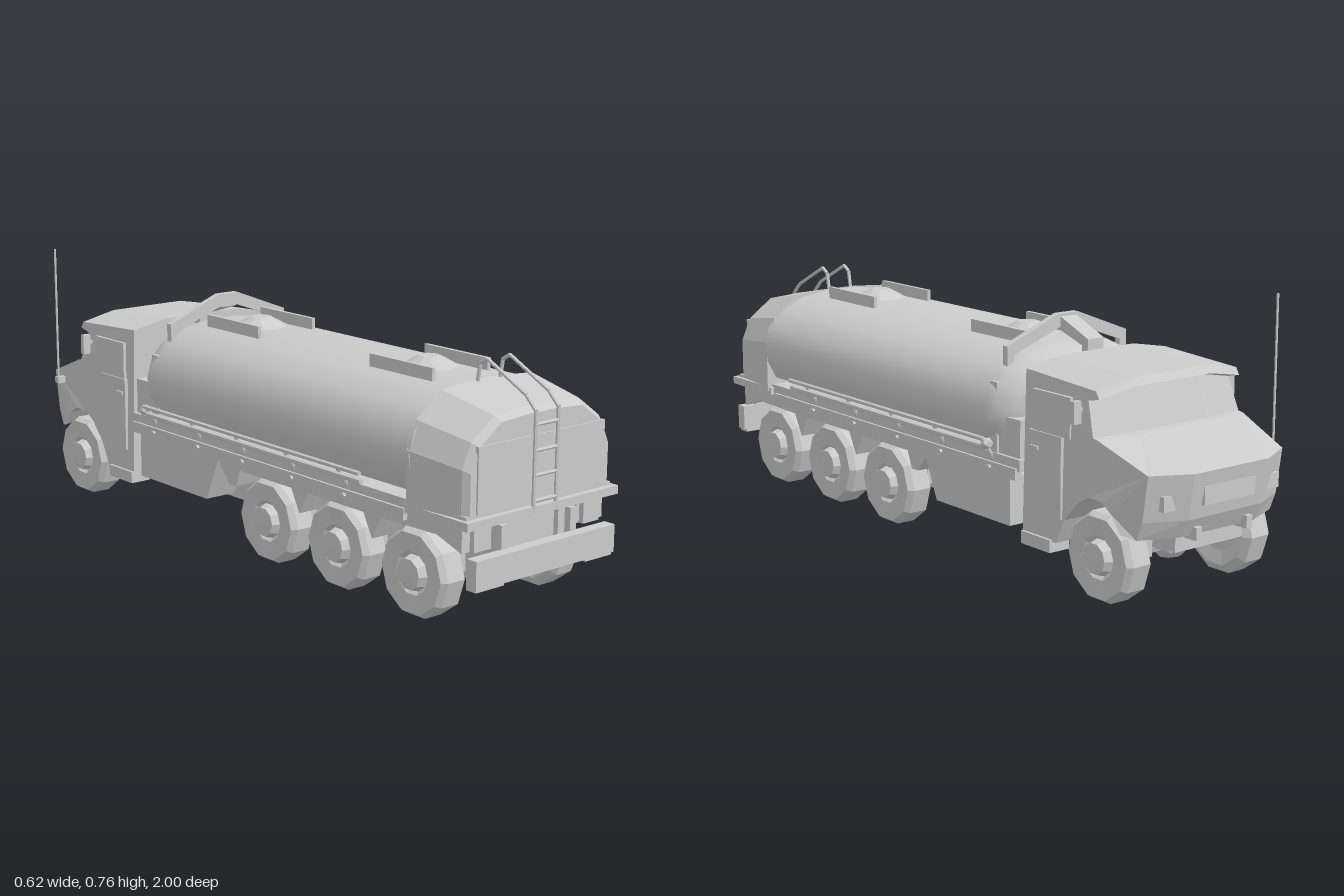
import * as THREE from 'three';
import { toCreasedNormals } from 'three/addons/utils/BufferGeometryUtils.js';

const flat = new THREE.MeshStandardMaterial({ color: 0xcccccc, flatShading: true });
const smooth = new THREE.MeshStandardMaterial({ color: 0xcccccc });

export function createModel() {
  const model = new THREE.Group();
  const add = (name, geo, mat = flat) => {
    const m = new THREE.Mesh(geo, mat);
    m.name = name;
    model.add(m);
    return m;
  };
  // box from its min and max corners
  const box = (name, x0, x1, y0, y1, z0, z1) =>
    add(name, new THREE.BoxGeometry(x1 - x0, y1 - y0, z1 - z0))
      .position.set((x0 + x1) / 2, (y0 + y1) / 2, (z0 + z1) / 2);
  const pair = (name, x0, x1, ...r) => {
    box(name, x0, x1, ...r);
    box(name, -x1, -x0, ...r);
  };
  // straight bar between two points
  const bar = (name, a, b, r, sides = 6) => {
    const p = new THREE.Vector3(...a), q = new THREE.Vector3(...b), d = q.clone().sub(p);
    const m = add(name, new THREE.CylinderGeometry(r, r, d.length(), sides));
    m.position.copy(p).add(q).multiplyScalar(0.5);
    m.quaternion.setFromUnitVectors(new THREE.Vector3(0, 1, 0), d.normalize());
  };
  const path = (name, pts, r) => pts.slice(1).forEach((p, i) => bar(name, pts[i], p, r));
  const shape = pts => new THREE.Shape(pts.map(p => new THREE.Vector2(...p)));
  // section repeated through n layers, each vertex moved by rule(v, layer)
  const loft = (pts, n, rule) => {
    const g = new THREE.ExtrudeGeometry(shape(pts), { depth: n, steps: n, bevelEnabled: false });
    const pos = g.attributes.position, v = new THREE.Vector3();
    for (let i = 0; i < pos.count; i++) {
      v.fromBufferAttribute(pos, i);
      rule(v, Math.round(v.z));
      pos.setXYZ(i, v.x, v.y, v.z);
    }
    g.computeVertexNormals();
    return g;
  };
  const mirrored = half => [...half, ...half.map(([x, y]) => [-x, y]).reverse()];
  // side outline (forward, up) extruded across x
  const across = (pts, x0, x1) => {
    const g = new THREE.ExtrudeGeometry(shape(pts), { depth: x1 - x0, bevelEnabled: false });
    return g.translate(0, 0, x0).rotateY(Math.PI / 2);
  };

  // Tank barrel with stepped front dome
  const rings = [[-0.435, 0.72], [-0.42, 0.85], [-0.375, 0.97], [-0.34, 1], [0.78, 1]];
  const barrel = loft(mirrored([[0.17, 0.32], [0.25, 0.345], [0.28, 0.4], [0.284, 0.45],
    [0.265, 0.51], [0.22, 0.555], [0.15, 0.59], [0.05, 0.605]]), 4, (v, i) => {
    v.set(v.x * rings[i][1], 0.45 + (v.y - 0.45) * rings[i][1], rings[i][0]);
  });
  add('tankBarrel', toCreasedNormals(barrel, 0.7), smooth);

  // Angular rear cabinet, tapering to the back face
  const cabZ = [0.77, 0.95, 0.97], cabX = [1, 0.93, 0.89], cabY = [1, 0.88, 0.83];
  add('rearCabinet', loft(mirrored([[0.282, 0.305], [0.282, 0.46], [0.25, 0.535], [0.165, 0.6],
    [0.05, 0.608]]), 2, (v, i) => v.set(v.x * cabX[i], 0.305 + (v.y - 0.305) * cabY[i], cabZ[i])));
  box('rearDoor', -0.23, 0.23, 0.325, 0.5, 0.965, 0.975);

  // Manholes and roof fins
  for (const z of [0.55, -0.18]) {
    const hatch = add('manhole', new THREE.CylinderGeometry(0.03, 0.11, 0.045, 10));
    hatch.position.set(0, 0.61, z);
  }
  for (const z of [0.43, -0.3]) pair('roofFin', 0.095, 0.107, 0.585, 0.632, z, z + 0.245);

  // Guard arch behind the cab and its centre brace
  const outer = [[0.215, 0.48], [0.215, 0.61], [0.035, 0.68]];
  const inner = [[0.19, 0.48], [0.19, 0.585], [0.025, 0.645]];
  const archPts = [...outer, ...outer.map(([x, y]) => [-x, y]).reverse(),
    ...inner.map(([x, y]) => [-x, y]), ...[...inner].reverse()];
  add('guardArch', new THREE.ExtrudeGeometry(shape(archPts), { depth: 0.02, bevelEnabled: false })
    .translate(0, 0, -0.355));
  add('archBrace', across([[0.335, 0.68], [0.47, 0.625], [0.47, 0.46], [0.445, 0.46],
    [0.445, 0.605], [0.335, 0.64]], -0.028, 0.028));
  pair('tankPost', 0.2, 0.262, 0.3, 0.52, -0.37, -0.34);
  pair('pumpBox', 0.2, 0.255, 0.29, 0.43, -0.46, -0.36);

  // Rear ladder, curling over the roof
  for (const s of [-1, 1]) {
    const x = 0.041 * s;
    path('ladderRail', [[x, 0.3, 0.985], [x, 0.565, 0.985], [x, 0.6, 0.95], [x, 0.67, 0.81],
      [x, 0.655, 0.785], [x, 0.6, 0.775]], 0.0055);
  }
  for (const y of [0.33, 0.397, 0.462, 0.53])
    bar('ladderRung', [-0.041, y, 0.985], [0.041, y, 0.985], 0.005);

  // Hose rails along both sides
  for (const s of [-1, 1]) {
    bar('hoseRail', [0.3 * s, 0.368, -0.36], [0.3 * s, 0.368, 0.61], 0.007);
    bar('hoseRail', [0.292 * s, 0.345, -0.36], [0.292 * s, 0.345, 0.61], 0.009);
    for (const z of [-0.35, -0.13, 0.08, 0.3, 0.52]) {
      bar('railBracket', [0.255 * s, 0.3, z], [0.3 * s, 0.37, z], 0.006);
      bar('deckBolt', [0.25 * s, 0.285, z], [0.28 * s, 0.285, z], 0.007);
    }
  }

  // Deck and chassis
  box('deck', -0.265, 0.265, 0.292, 0.325, -0.47, 0.97);
  box('rearSill', -0.277, 0.277, 0.293, 0.316, 0.76, 0.988);
  pair('deckEdge', 0.25, 0.272, 0.268, 0.3, -0.46, 0.75);
  pair('chassisRail', 0.09, 0.12, 0.145, 0.295, -0.9, 0.95);
  pair('lowerRail', 0.085, 0.12, 0.102, 0.146, -0.6, 0.88);
  for (const z of [-0.45, -0.05, 0.31, 0.61, 0.92])
    box('crossMember', -0.12, 0.12, 0.19, 0.28, z - 0.015, z + 0.015);
  box('rearBumper', -0.255, 0.255, 0.14, 0.216, 0.965, 1);
  pair('bumperFoot', 0.15, 0.25, 0.132, 0.142, 0.96, 0.995);
  pair('bumperArm', 0.115, 0.138, 0.2, 0.28, 0.93, 0.97);
  pair('tailLamp', 0.17, 0.23, 0.225, 0.29, 0.93, 0.965);

  // Rear wing panels and splash flaps
  const wing = [[0.06, 0.27], [0.0, 0.2], [-0.03, 0.2], [-0.05, 0.25], [-0.28, 0.25], [-0.315, 0.185],
    [-0.35, 0.25], [-0.58, 0.25], [-0.615, 0.185], [-0.65, 0.25], [-0.86, 0.255], [-0.95, 0.225],
    [-0.95, 0.295], [0.06, 0.295]];
  // Storage lockers between the axles
  const locker = [[0.04, 0.27], [0.1, 0.135], [0.43, 0.135], [0.43, 0.27]];
  for (const [a, b] of [[0.16, 0.258], [-0.258, -0.16]]) {
    add('rearWing', across(wing, a, b));
    add('locker', across(locker, a * 1.03, b * 1.03));
  }

  // Wheels, axles and drive line
  const tyre = [[0, 0.178], [0.06, 0.178], [0.1, 0.168], [0.123, 0.183], [0.123, 0.24], [0.112, 0.257],
    [0.06, 0.253], [0.05, 0.243], [0.042, 0.268], [0, 0.27]].map(p => new THREE.Vector2(...p));
  for (const z of [0.765, 0.465, 0.165, -0.775]) {
    for (const s of [-1, 1]) {
      const w = add('wheel', new THREE.LatheGeometry(tyre, 10));
      w.rotation.z = -s * Math.PI / 2;
      w.position.set(0, 0.127, z);
    }
    bar('axle', [-0.19, 0.127, z], [0.19, 0.127, z], 0.022, 8);
    const diff = add('differential', new THREE.SphereGeometry(0.05, 8, 5));
    diff.scale.set(1.2, 0.95, 1);
    diff.position.set(0, 0.127, z);
    pair('suspensionArm', 0.12, 0.145, 0.12, 0.2, z - 0.06, z + 0.06);
  }
  bar('driveShaft', [0, 0.13, -0.775], [0, 0.13, 0.765], 0.018, 8);
  box('gearbox', -0.085, 0.085, 0.11, 0.25, -0.68, -0.45);
  box('engine', -0.12, 0.12, 0.15, 0.3, -0.92, -0.65);

  // Cab: side outline (forward, up) with arch, bonnet, windscreen and visor
  const cabOutline = [[0.478, 0.13], [0.615, 0.13], [0.65, 0.2], [0.7, 0.255], [0.745, 0.28],
    [0.81, 0.28], [0.86, 0.255], [0.9, 0.21], [0.95, 0.2], [0.975, 0.25], [0.998, 0.375],
    [0.79, 0.437], [0.768, 0.44], [0.73, 0.553], [0.78, 0.562], [0.765, 0.582], [0.478, 0.597]];
  const stations = [-0.26, -0.13, 0, 0.13, 0.26];
  add('cab', loft(cabOutline, 4, (v, i) => {
    let x = stations[i], y = v.y, u = v.x;
    if (Math.abs(x) > 0.2) {
      if (u > 0.72) u = 0.72 + (u - 0.72) * 0.8;
      if (y > 0.5) { y -= 0.022; x *= 0.96; }
      if (u > 0.88) x *= 0.92;
    }
    v.set(x, y, -u);
  }));
  // Doors, side windows, steps and lamps
  pair('door', 0.255, 0.266, 0.2, 0.42, -0.64, -0.51);
  pair('windowFrame', 0.245, 0.262, 0.42, 0.53, -0.67, -0.52);
  pair('doorHandle', 0.262, 0.272, 0.37, 0.38, -0.55, -0.52);
  pair('cabStep', 0.2, 0.268, 0.1, 0.135, -0.6, -0.48);
  pair('mirror', 0.262, 0.287, 0.47, 0.53, -0.715, -0.7);
  pair('mirrorArm', 0.24, 0.27, 0.5, 0.51, -0.71, -0.7);
  box('grille', -0.09, 0.09, 0.285, 0.335, -0.992, -0.96);
  pair('headlamp', 0.15, 0.205, 0.28, 0.32, -0.965, -0.9);
  pair('towHook', 0.08, 0.1, 0.19, 0.225, -0.975, -0.93);

  // Side marker lamps and aerial
  for (const s of [-1, 1]) {
    const lamp = add('markerLamp', new THREE.IcosahedronGeometry(0.018, 0));
    lamp.position.set(0.294 * s, 0.356, -0.365);
  }
  box('aerialMount', -0.272, -0.235, 0.345, 0.365, -0.895, -0.875);
  bar('aerial', [-0.265, 0.36, -0.885], [-0.265, 0.775, -0.885], 0.0035);
  return model;
}
